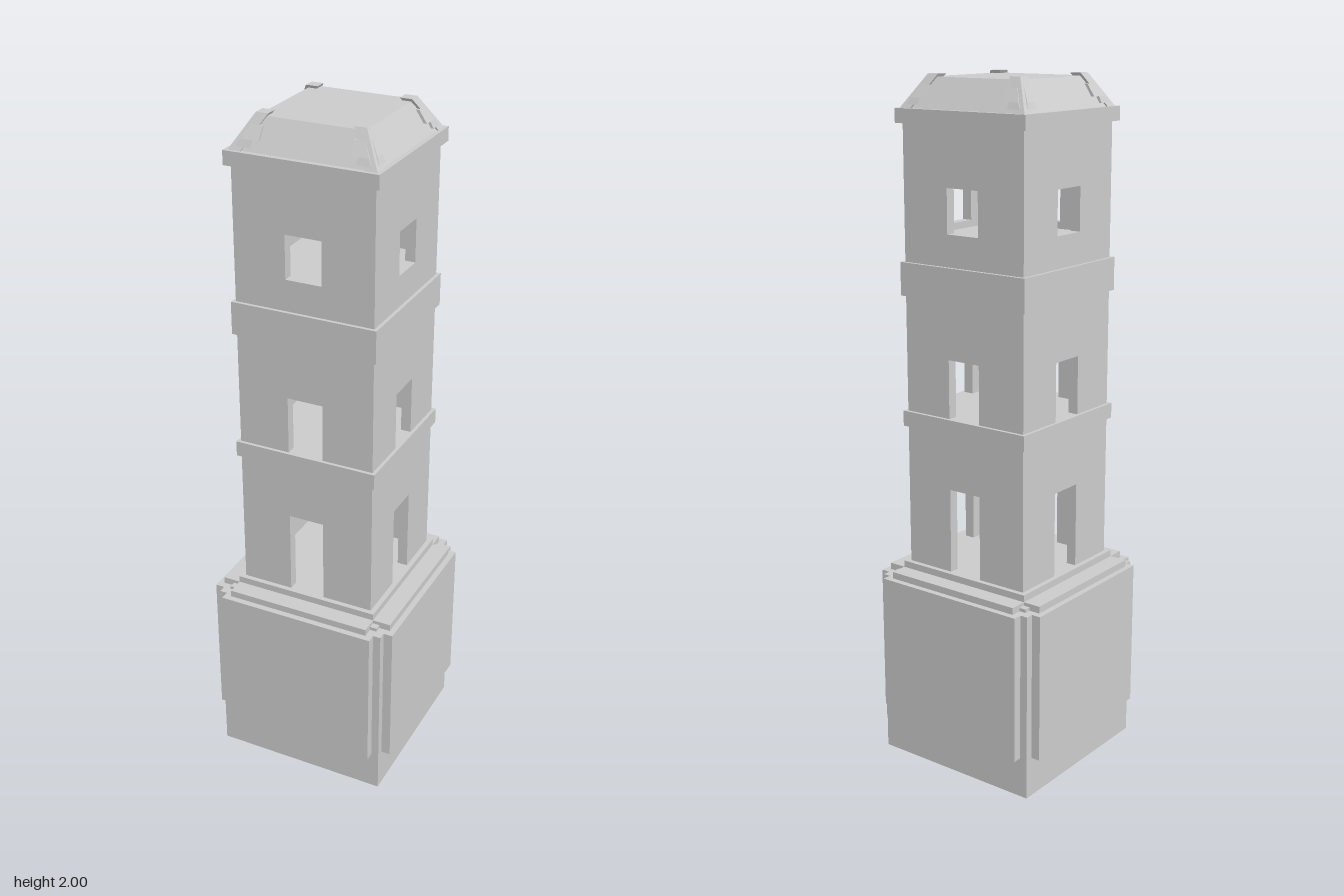
import * as THREE from 'three';

const material = new THREE.MeshStandardMaterial({ color: 0xcccccc, flatShading: true });

function add(parent, name, geometry) {
  const mesh = new THREE.Mesh(geometry, material);
  mesh.name = name;
  parent.add(mesh);
  return mesh;
}

// Box from its minimum and maximum on each axis
function block(parent, name, x0, x1, y0, y1, z0, z1) {
  const g = new THREE.BoxGeometry(x1 - x0, y1 - y0, z1 - z0);
  g.translate((x0 + x1) / 2, (y0 + y1) / 2, (z0 + z1) / 2);
  return add(parent, name, g);
}

// Centred square slab
function slab(parent, name, half, y0, y1) {
  return block(parent, name, -half, half, y0, y1, -half, half);
}

// Box whose bottom and top rectangles [x0, x1, z0, z1] differ
function skewBox(parent, name, bottom, top, y0, y1) {
  const g = new THREE.BoxGeometry(1, 1, 1);
  const p = g.attributes.position;
  for (let i = 0; i < p.count; i++) {
    const r = p.getY(i) > 0 ? top : bottom;
    p.setXYZ(i, p.getX(i) > 0 ? r[1] : r[0], p.getY(i) > 0 ? y1 : y0, p.getZ(i) > 0 ? r[3] : r[2]);
  }
  g.computeVertexNormals();
  return add(parent, name, g);
}

function square(half, Type = THREE.Shape) {
  const s = new Type();
  s.moveTo(-half, -half);
  s.lineTo(half, -half);
  s.lineTo(half, half);
  s.lineTo(-half, half);
  s.closePath();
  return s;
}

// Square tube standing between two heights
function frame(parent, name, outer, inner, y0, y1) {
  const s = square(outer);
  s.holes.push(square(inner, THREE.Path));
  const g = new THREE.ExtrudeGeometry(s, { depth: y1 - y0, bevelEnabled: false });
  g.rotateX(-Math.PI / 2);
  g.translate(0, y0, 0);
  return add(parent, name, g);
}

// Tower wall facing +z, with a door and two windows
function towerWall(parent, halfWidth) {
  const s = new THREE.Shape();
  const corners = [[-halfWidth, 0.6], [-0.053, 0.6], [-0.053, 0.85], [0.053, 0.85], [0.053, 0.6],
    [halfWidth, 0.6], [halfWidth, 1.88], [-halfWidth, 1.88]];
  s.setFromPoints(corners.map(([x, y]) => new THREE.Vector2(x, y)));
  for (const [y0, y1] of [[1.06, 1.23], [1.58, 1.705]]) {
    const hole = new THREE.Path();
    hole.setFromPoints([[-0.053, y0], [-0.053, y1], [0.053, y1], [0.053, y0]]
      .map(([x, y]) => new THREE.Vector2(x, y)));
    s.holes.push(hole);
  }
  const g = new THREE.ExtrudeGeometry(s, { depth: 0.03, bevelEnabled: false });
  g.translate(0, 0, 0.175);
  add(parent, 'towerWall', g);
}

export function createModel() {
  const model = new THREE.Group();
  model.name = 'tower';
  const body = new THREE.Group();
  body.name = 'towerBody';
  body.position.z = -0.005;
  model.add(body);

  // Hollow base, open below
  frame(body, 'plinth', 0.263, 0.24, 0, 0.12);
  frame(body, 'baseWalls', 0.263, 0.22, 0.12, 0.56);
  slab(body, 'baseCeiling', 0.24, 0.54, 0.57);
  slab(body, 'baseCollar', 0.22, 0.57, 0.6);
  block(body, 'baseStep', -0.273, 0.273, 0.555, 0.58, -0.22, 0.22);
  block(body, 'baseStep', -0.22, 0.22, 0.555, 0.58, -0.272, 0.272);

  // Each of the four sides
  for (let i = 0; i < 4; i++) {
    const side = new THREE.Group();
    side.name = 'side';
    side.rotation.y = i * Math.PI / 2;
    body.add(side);
    block(side, 'basePanel', -0.24, 0.24, 0.12, 0.56, 0.25, 0.29);
    towerWall(side, i % 2 ? 0.175 : 0.205);

    // Sloping corner rib with stepped ornaments on both neighbouring roof faces
    skewBox(side, 'roofRib', [0.173, 0.21, 0.173, 0.21], [0.12, 0.155, 0.12, 0.155], 1.91, 2);
    for (const s of [-1, 1]) {
      const span = (a, b) => (s > 0 ? [a, b] : [-b, -a]);
      skewBox(side, 'ribOrnament', [...span(0.127, 0.18), 0.17, 0.196],
        [...span(0.127, 0.16), 0.15, 0.173], 1.938, 1.972);
      skewBox(side, 'ribOrnamentFoot', [...span(0.15, 0.19), 0.18, 0.205],
        [...span(0.15, 0.18), 0.17, 0.196], 1.92, 1.938);
    }
  }

  // Inner floors
  slab(body, 'floor', 0.176, 1.03, 1.06);
  slab(body, 'floor', 0.176, 1.53, 1.56);

  // Bands and cornice
  frame(body, 'lowerBand', 0.215, 0.2, 1.015, 1.06);
  frame(body, 'upperBand', 0.215, 0.2, 1.395, 1.49);
  slab(body, 'cornice', 0.22, 1.87, 1.91);

  // Flat-topped hipped roof
  skewBox(body, 'roof', [-0.205, 0.205, -0.205, 0.205], [-0.15, 0.15, -0.152, 0.152], 1.91, 1.992);
  return model;
}
